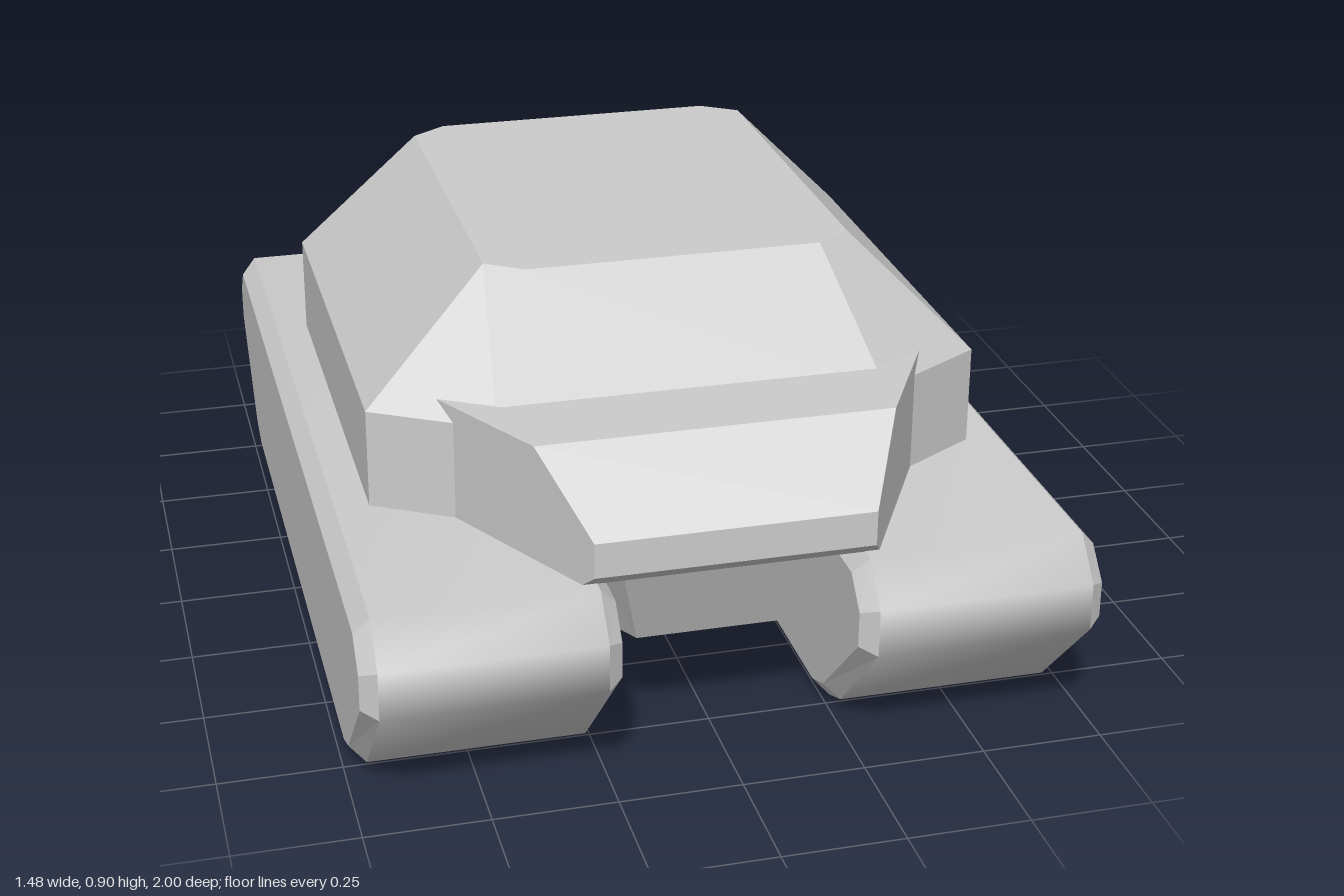
import * as THREE from 'three';

const material = new THREE.MeshStandardMaterial({ color: 0xcccccc });

// Skins a stack of equal-length loops of [x, y, z]; smooth shares vertices
function skin(loops, { smooth = false, capStart = false, capEnd = false } = {}) {
  const n = loops[0].length;
  const index = [];
  for (let k = 0; k < loops.length - 1; k++) {
    for (let i = 0; i < n; i++) {
      const j = (i + 1) % n;
      const a = k * n + i, b = k * n + j, c = a + n, d = b + n;
      index.push(a, c, d, a, d, b);
    }
  }
  const last = (loops.length - 1) * n;
  for (let i = 1; i < n - 1; i++) {
    if (capStart) index.push(0, i, i + 1);
    if (capEnd) index.push(last, last + i + 1, last + i);
  }
  let geometry = new THREE.BufferGeometry();
  geometry.setAttribute('position', new THREE.Float32BufferAttribute(loops.flat(2), 3));
  geometry.setIndex(index);
  if (!smooth) geometry = geometry.toNonIndexed();
  geometry.computeVertexNormals();
  return geometry;
}

// Eight-sided plan outline: side corners at (sx, sz), end corners at (ex, ez)
function octagon(y, sx, sz, ex, ez) {
  return [
    [sx, y, -sz], [sx, y, sz], [ex, y, ez], [-ex, y, ez],
    [-sx, y, sz], [-sx, y, -sz], [-ex, y, -ez], [ex, y, -ez],
  ];
}

function addMesh(parent, name, geometry) {
  const mesh = new THREE.Mesh(geometry, material);
  mesh.name = name;
  parent.add(mesh);
}

// Side outline of a track from one half, mirrored in z
function trackLoop(x, half) {
  const [low, high, top, bottom, bend] = half;
  const front = [low, high, top];
  const back = [top, high, low, bend, bottom].map(([z, y]) => [-z, y]);
  return [...front, ...back, bottom, bend].map(([z, y]) => [x, y, z]);
}

function makeTrack(name, x) {
  const outer = [[1, 0.25], [1, 0.35], [0.93, 0.43], [0.72, 0], [0.79, 0.03]];
  const inner = [[0.97, 0.26], [0.97, 0.335], [0.915, 0.395], [0.7, 0.033], [0.77, 0.06]];
  const track = new THREE.Group();
  track.name = name;
  track.position.x = x;
  // Rounded running surface
  addMesh(track, 'tread', skin([trackLoop(-0.22, outer), trackLoop(0.22, outer)], { smooth: true }));
  // Bevelled edges with flat side plates
  addMesh(track, 'outerSide',
    skin([trackLoop(0.22, outer), trackLoop(0.252, inner)], { capEnd: true }));
  addMesh(track, 'innerSide',
    skin([trackLoop(-0.252, inner), trackLoop(-0.22, outer)], { capStart: true }));
  return track;
}

export function createModel() {
  const model = new THREE.Group();
  model.name = 'trackedVehicle';
  const caps = { capStart: true, capEnd: true };

  model.add(makeTrack('leftTrack', 0.488), makeTrack('rightTrack', -0.488));

  // Belly between the tracks
  addMesh(model, 'belly', skin([
    octagon(0.24, 0.2, 0.74, 0.165, 0.8),
    octagon(0.43, 0.25, 0.81, 0.212, 0.88),
  ], caps));

  // Hull with wedge-shaped nose and tail
  addMesh(model, 'hull', skin([
    octagon(0.428, 0.5275, 0.48, 0.298, 0.898),
    octagon(0.457, 0.5275, 0.48, 0.28, 0.93),
    octagon(0.53, 0.5275, 0.48, 0.28, 0.93),
    octagon(0.673, 0.5275, 0.48, 0.3625, 0.78),
  ], caps));

  // Cabin with upright walls and a sloped roof
  addMesh(model, 'cabin', skin([
    octagon(0.43, 0.638, 0.475, 0.4, 0.615),
    octagon(0.638, 0.638, 0.475, 0.4, 0.615),
    octagon(0.9, 0.38, 0.4, 0.305, 0.452),
  ], caps));

  return model;
}
